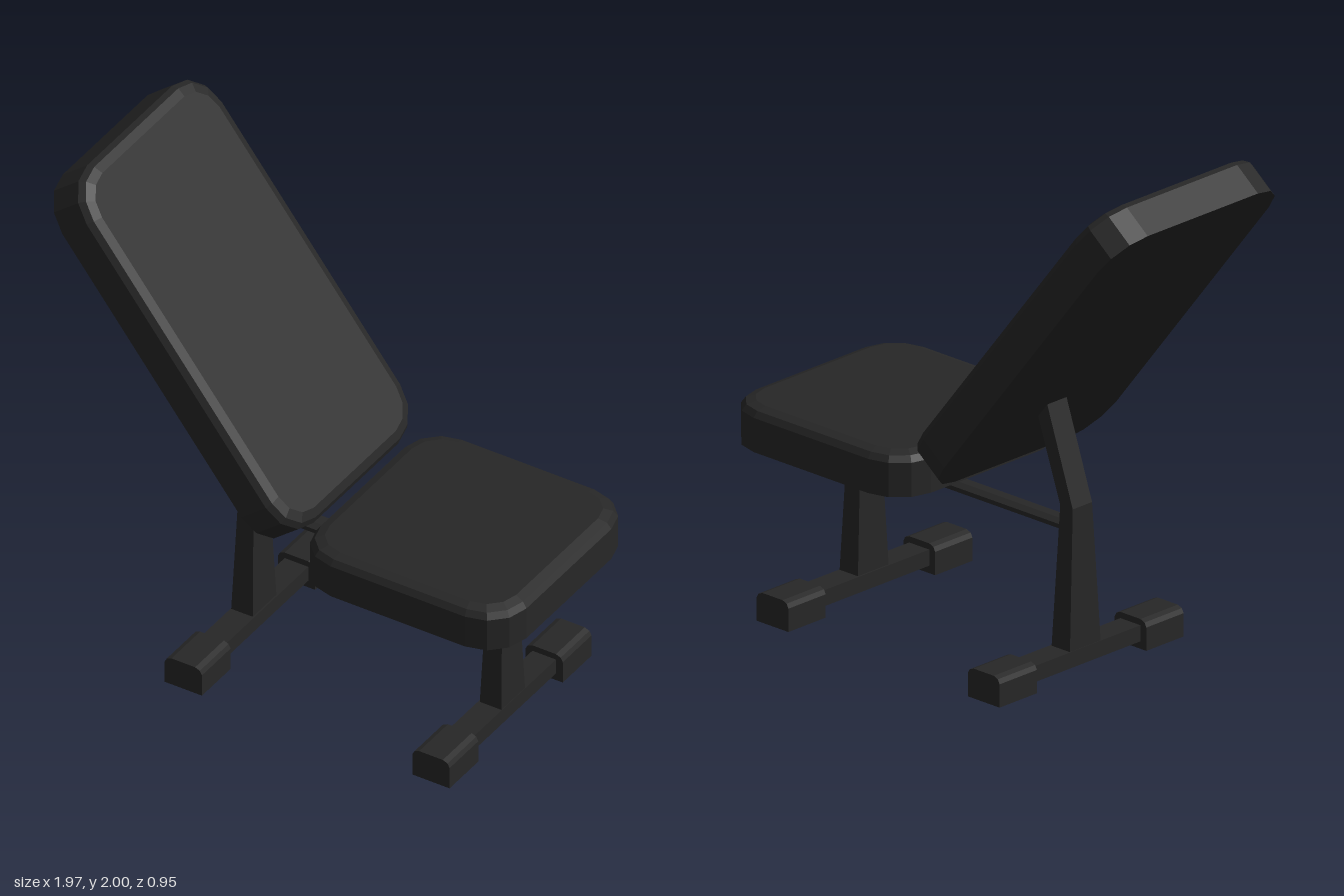
import * as THREE from 'three';

const black = new THREE.MeshStandardMaterial({ color: 0x272727, flatShading: true });
black.name = 'matteBlack';

// Closed solid from equal-length loops of points, listed bottom to top (counter-clockwise seen from above)
function loft(loops) {
  const n = loops[0].length;
  const pos = [];
  const tri = (a, b, c) => pos.push(...a, ...b, ...c);
  for (let i = 0; i + 1 < loops.length; i++) {
    for (let j = 0; j < n; j++) {
      const k = (j + 1) % n;
      tri(loops[i][j], loops[i][k], loops[i + 1][k]);
      tri(loops[i][j], loops[i + 1][k], loops[i + 1][j]);
    }
  }
  const first = loops[0], last = loops[loops.length - 1];
  for (let j = 1; j + 1 < n; j++) {
    tri(first[0], first[j + 1], first[j]);
    tri(last[0], last[j], last[j + 1]);
  }
  const g = new THREE.BufferGeometry();
  g.setAttribute('position', new THREE.Float32BufferAttribute(pos, 3));
  g.computeVertexNormals();
  return g;
}

// Rounded rectangle loop at height y, three segments per corner
function roundedLoop(halfX, halfZ, radius, y) {
  const pts = [];
  const signs = [[1, 1], [-1, 1], [-1, -1], [1, -1]];
  signs.forEach(([sx, sv], c) => {
    for (let s = 0; s <= 3; s++) {
      const a = (c + s / 3) * Math.PI / 2;
      const x = sx * (halfX - radius) + radius * Math.cos(a);
      const v = sv * (halfZ - radius) + radius * Math.sin(a);
      pts.push([x, y, -v]);
    }
  });
  return pts;
}

// Cushion with softened upper edge, base on y = 0
function padGeometry(length, width) {
  const rings = [[0, 0], [0.132, 0], [0.155, 0.016], [0.167, 0.05]];
  return loft(rings.map(([y, inset]) =>
    roundedLoop(length / 2 - inset, width / 2 - inset, 0.16 - inset * 0.8, y)));
}

// Rectangular leg through sections [y, xMin, xMax, halfZ]
function legGeometry(sections) {
  return loft(sections.map(([y, x0, x1, z]) =>
    [[x1, y, z], [x1, y, -z], [x0, y, -z], [x0, y, z]]));
}

function addMesh(parent, name, geometry, x = 0, y = 0, z = 0) {
  const m = new THREE.Mesh(geometry, black);
  m.name = name;
  m.position.set(x, y, z);
  parent.add(m);
  return m;
}

// Foot block with chamfered top edges, extruded along z
function footGeometry() {
  const s = new THREE.Shape([
    [-0.079, 0], [0.079, 0], [0.079, 0.09], [0.07, 0.107], [0.05, 0.115],
    [-0.05, 0.115], [-0.07, 0.107], [-0.079, 0.09],
  ].map(p => new THREE.Vector2(...p)));
  return new THREE.ExtrudeGeometry(s, { depth: 0.193, bevelEnabled: false });
}

export function createModel() {
  const bench = new THREE.Group();
  bench.name = 'adjustableBench';

  // Cushions
  addMesh(bench, 'seatPad', padGeometry(0.89, 0.89), 0.537, 0.63, 0);
  const back = addMesh(bench, 'backrestPad', padGeometry(1.548, 0.89), -0.506, 1.313, 0);
  back.rotation.z = -Math.atan2(1.21, 0.955);

  // Uprights
  addMesh(bench, 'seatPost', legGeometry([
    [0.08, 0.654, 0.746, 0.08], [0.64, 0.669, 0.731, 0.05]]));
  addMesh(bench, 'backrestPost', legGeometry([
    [0.08, -0.401, -0.309, 0.08], [0.63, -0.386, -0.324, 0.05], [1.01, -0.256, -0.19, 0.05]]));

  // Base bars with foot blocks
  const foot = footGeometry();
  for (const [name, x] of [['seatBase', 0.698], ['backrestBase', -0.353]]) {
    const base = new THREE.Group();
    base.name = name;
    base.position.x = x;
    addMesh(base, 'crossBar', new THREE.BoxGeometry(0.1, 0.062, 0.6), 0, 0.06, 0);
    addMesh(base, 'leftFoot', foot, 0, 0, 0.283);
    addMesh(base, 'rightFoot', foot, 0, 0, -0.476);
    bench.add(base);
  }

  // Flattened bar joining the posts
  const bar = new THREE.CylinderGeometry(1, 1, 1.02, 8);
  bar.rotateY(Math.PI / 8).rotateZ(Math.PI / 2).scale(1, 0.0215, 0.046);
  addMesh(bench, 'spineBar', bar, 0.172, 0.542, 0);

  return bench;
}
